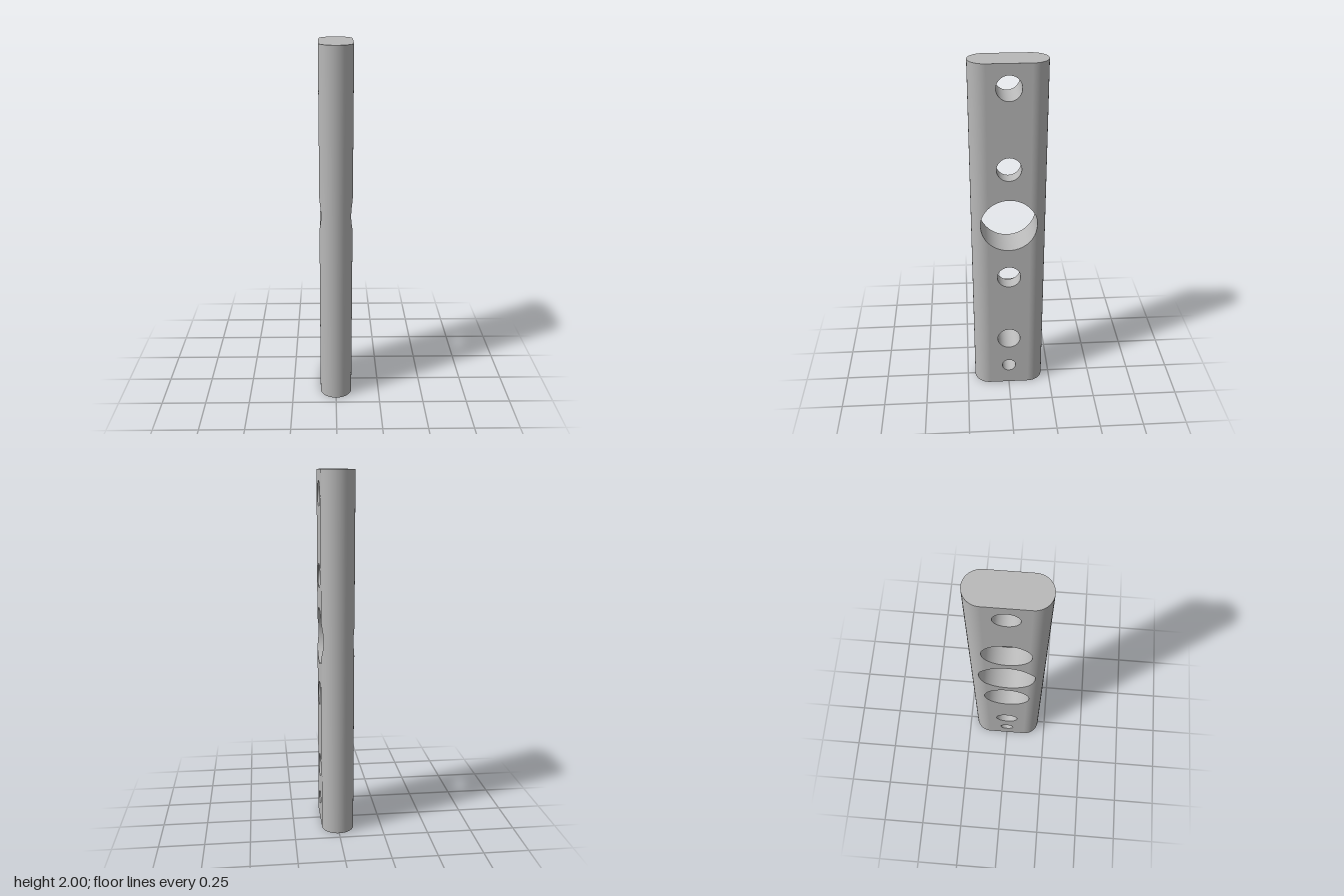
import * as THREE from 'three';

const HEIGHT = 2, HALF_X = 0.09, FLAT_Z = 0.115, HALF_Z = 0.205;
const BORE_R = 0.13, BORE_FLOOR = 0.01; // counterbore radius, x of its floor

// Cross holes along x, bottom to top
const HOLES = [
  { name: 'pinHole', y: 0.13, r: 0.04 },
  { name: 'lowerHole', y: 0.335, r: 0.066 },
  { name: 'lowerBoltHole', y: 0.772, r: 0.066, bored: true },
  { name: 'mainHole', y: 1.105, r: 0.155 },
  { name: 'upperBoltHole', y: 1.44, r: 0.066, bored: true },
  { name: 'upperHole', y: 1.875, r: 0.066 },
];

// Half thickness of the bar, and outward normal, at depth z
const over = (z) => Math.max(0, Math.abs(z) - FLAT_Z);
const halfX = (z) => Math.sqrt(Math.max(0, HALF_X ** 2 - over(z) ** 2));
const skinNormal = (z, side) => [side * halfX(z) / HALF_X, 0, Math.sign(z) * over(z) / HALF_X];
const arc = (r, z) => Math.sqrt(Math.max(0, r * r - z * z));

// Columns in z, crowded towards every hole edge and the rounded tips
function makeColumns() {
  const half = [];
  let from = 0;
  for (const to of [0.04, 0.066, FLAT_Z, BORE_R, 0.155, HALF_Z]) {
    for (let i = 1; i <= 10; i++) {
      half.push(i === 10 ? to : from + (to - from) * Math.sin(i / 10 * Math.PI / 2));
    }
    from = to;
  }
  return [...half.map((z) => -z).reverse(), 0, ...half];
}
const COLUMNS = makeColumns();

// Calls fn for each neighbouring pair of columns within radius r
function eachStrip(r, fn) {
  for (let i = 0; i + 1 < COLUMNS.length; i++) {
    const a = COLUMNS[i], b = COLUMNS[i + 1];
    if (Math.max(Math.abs(a), Math.abs(b)) <= r + 1e-9) fn(a, b);
  }
}

// Collects quads with given normals, turned to face along them
class Surface {
  constructor() { this.pos = []; this.nor = []; }
  quad(points, normals) {
    const [a, b, c, d] = points.map((p) => new THREE.Vector3(...p));
    const facing = c.sub(a).cross(d.sub(b));
    const mean = new THREE.Vector3();
    normals.forEach((n) => mean.add(new THREE.Vector3(...n)));
    const order = facing.dot(mean) > 0 ? [0, 1, 2, 0, 2, 3] : [0, 2, 1, 0, 3, 2];
    for (const i of order) {
      this.pos.push(...points[i]);
      this.nor.push(...normals[i]);
    }
  }
  mesh(name, material) {
    const g = new THREE.BufferGeometry();
    g.setAttribute('position', new THREE.Float32BufferAttribute(this.pos, 3));
    g.setAttribute('normal', new THREE.Float32BufferAttribute(this.nor, 3));
    const m = new THREE.Mesh(g, material);
    m.name = name;
    return m;
  }
}

// One long side of the bar, interrupted by the hole openings
function sideSkin(side) {
  const s = new Surface();
  eachStrip(HALF_Z, (a, b) => {
    const edges = (z) => {
      const ys = [0];
      for (const h of HOLES) {
        const r = h.bored && side < 0 ? BORE_R : h.r;
        if (r + 1e-9 >= Math.max(Math.abs(a), Math.abs(b))) ys.push(h.y - arc(r, z), h.y + arc(r, z));
      }
      return [...ys, HEIGHT];
    };
    const ya = edges(a), yb = edges(b);
    const xa = side * halfX(a), xb = side * halfX(b);
    const na = skinNormal(a, side), nb = skinNormal(b, side);
    for (let i = 0; i < ya.length; i += 2) {
      s.quad([[xa, ya[i], a], [xb, yb[i], b], [xb, yb[i + 1], b], [xa, ya[i + 1], a]], [na, nb, nb, na]);
    }
  });
  return s;
}

// Flat end of the bar
function endCap(y, up) {
  const s = new Surface(), n = [0, up, 0];
  eachStrip(HALF_Z, (a, b) => {
    s.quad([[-halfX(a), y, a], [halfX(a), y, a], [halfX(b), y, b], [-halfX(b), y, b]], [n, n, n, n]);
  });
  return s;
}

// Inner wall of a round hole between two x limits given as functions of z
function addWall(s, y, r, x0, x1) {
  eachStrip(r, (a, b) => {
    for (const v of [-1, 1]) {
      const ya = v * arc(r, a), yb = v * arc(r, b);
      const na = [0, -ya / r, -a / r], nb = [0, -yb / r, -b / r];
      s.quad([[x0(a), y + ya, a], [x1(a), y + ya, a], [x1(b), y + yb, b], [x0(b), y + yb, b]], [na, na, nb, nb]);
    }
  });
}

// Ring-shaped floor of a counterbore
function addBoreFloor(s, y, r) {
  const n = [-1, 0, 0], x = BORE_FLOOR;
  eachStrip(BORE_R, (a, b) => {
    const open = Math.max(Math.abs(a), Math.abs(b)) <= r + 1e-9;
    const inner = (z) => (open ? arc(r, z) : 0);
    for (const v of [-1, 1]) {
      s.quad([[x, y + v * inner(a), a], [x, y + v * arc(BORE_R, a), a],
        [x, y + v * arc(BORE_R, b), b], [x, y + v * inner(b), b]], [n, n, n, n]);
    }
  });
}

export function createModel() {
  const metal = new THREE.MeshStandardMaterial({ color: 0xb8b8b8 });
  metal.name = 'greyMetal';
  const bar = new THREE.Group();
  bar.name = 'drilledBar';

  bar.add(sideSkin(1).mesh('leftSide', metal), sideSkin(-1).mesh('rightSide', metal));
  bar.add(endCap(0, -1).mesh('bottomEnd', metal), endCap(HEIGHT, 1).mesh('topEnd', metal));

  const left = halfX, right = (z) => -halfX(z), floor = () => BORE_FLOOR;
  for (const h of HOLES) {
    const s = new Surface();
    if (h.bored) {
      addWall(s, h.y, BORE_R, right, floor);
      addBoreFloor(s, h.y, h.r);
      addWall(s, h.y, h.r, floor, left);
    } else {
      addWall(s, h.y, h.r, right, left);
    }
    bar.add(s.mesh(h.name, metal));
  }
  return bar;
}
